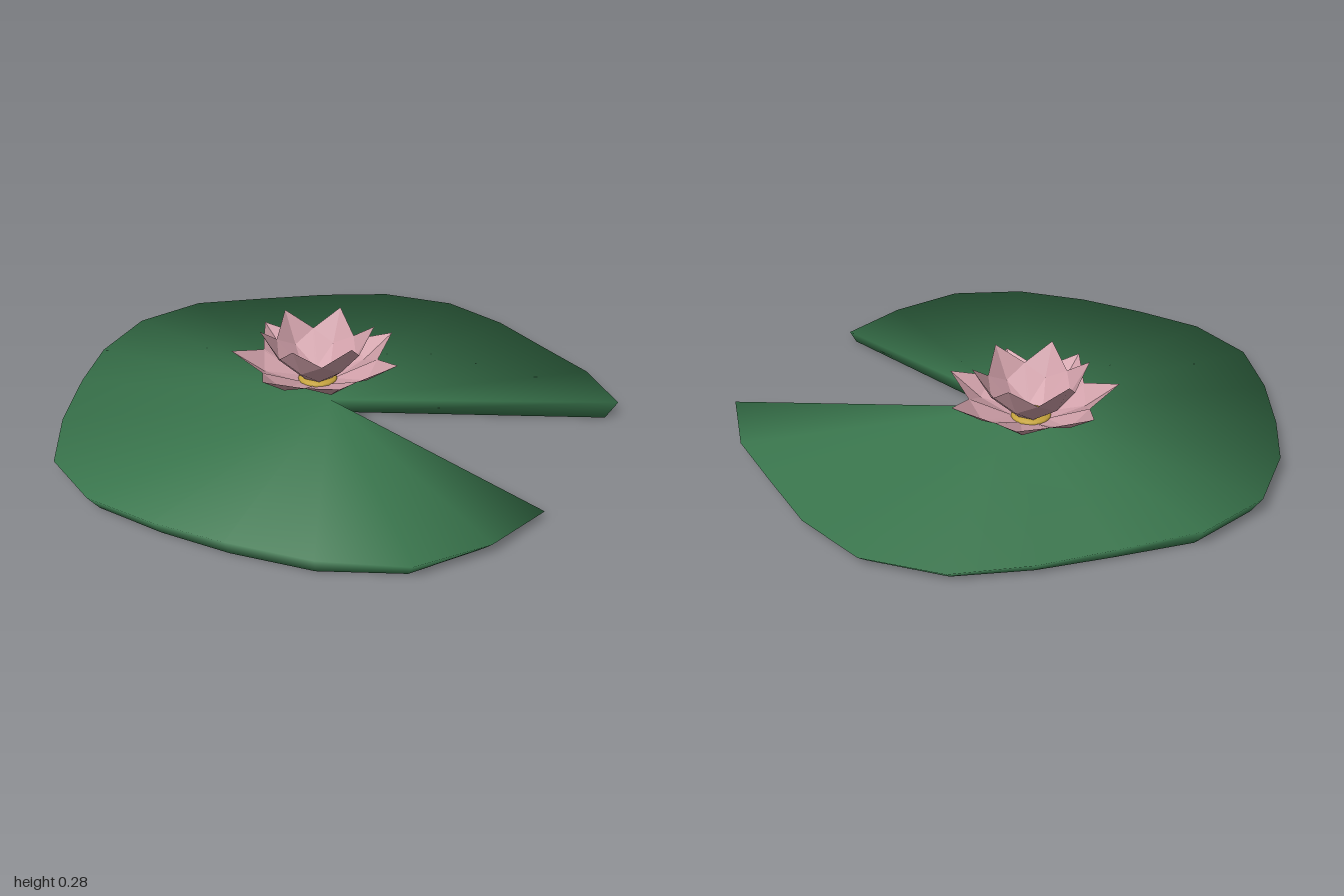
import * as THREE from 'three';

// Rim of the pad, counter-clockwise from above: x, height, z
const RIM = [
  [0.98, 0.065, -0.355], [0.81, 0.05, -0.58], [0.595, 0.042, -0.735], [0.37, 0.037, -0.895],
  [0.11, 0.035, -1], [-0.18, 0.037, -0.975], [-0.42, 0.045, -0.84], [-0.63, 0.055, -0.68],
  [-0.855, 0.066, -0.5], [-0.985, 0.065, -0.25], [-0.985, 0.06, 0.035], [-0.92, 0.055, 0.28],
  [-0.82, 0.05, 0.55], [-0.68, 0.05, 0.8], [-0.445, 0.055, 0.95], [-0.18, 0.06, 0.99],
  [0.08, 0.067, 1], [0.37, 0.067, 0.975], [0.64, 0.055, 0.87], [0.815, 0.04, 0.645], [0.91, 0.03, 0.39],
];
const HEART = [0, 0.052, 0.03]; // point where the notch ends

// Smooth normals weighted by corner angle, so the thin rim looks rounded
function angleNormals(points, faces) {
  const normals = points.map(() => new THREE.Vector3());
  for (const face of faces) {
    const [a, b, c] = face.map((i) => points[i]);
    const n = b.clone().sub(a).cross(c.clone().sub(a)).normalize();
    face.forEach((v, k) => {
      const p = points[v];
      const e = points[face[(k + 1) % 3]].clone().sub(p);
      const f = points[face[(k + 2) % 3]].clone().sub(p);
      normals[v].addScaledVector(n, e.angleTo(f));
    });
  }
  return normals.map((n) => n.normalize());
}

// Notched leaf: top fan, bottom fan set slightly inward, and a wall between
function padGeometry() {
  const loop = [HEART, ...RIM];
  const n = loop.length;
  const top = loop.map((p) => new THREE.Vector3(...p));
  const bottom = loop.map(([x, , z]) => new THREE.Vector3(x * 0.96, 0, z * 0.96));
  const points = [...top, ...bottom];
  const faces = [];
  for (let i = 0; i < n; i++) {
    const j = (i + 1) % n;
    if (i > 0 && j > 0) faces.push([0, i, j], [n, n + j, n + i]);
    faces.push([n + i, n + j, j], [n + i, j, i]);
  }
  const geo = new THREE.BufferGeometry().setFromPoints(points);
  const normals = angleNormals(points, faces).flatMap((v) => v.toArray());
  geo.setAttribute('normal', new THREE.Float32BufferAttribute(normals, 3));
  geo.setIndex(faces.flat());
  return geo;
}

// Pointed, cupped petal along +x; base, mid and tip are [radius, height]
function petalGeometry(base, mid, tip, halfWidth, lift) {
  const [bx, by] = base, [mx, my] = mid, [tx, ty] = tip;
  const points = [
    [bx, by, 0.03], [bx, by, -0.03],
    [mx, my + lift, halfWidth], [mx, my, 0], [mx, my + lift, -halfWidth],
    [tx, ty, 0],
  ].map((p) => new THREE.Vector3(...p));
  const geo = new THREE.BufferGeometry().setFromPoints(points);
  geo.setIndex([0, 3, 1, 0, 2, 3, 1, 3, 4, 2, 5, 3, 3, 5, 4]);
  const flat = geo.toNonIndexed();
  flat.computeVertexNormals();
  return flat;
}

export function createModel() {
  const green = new THREE.MeshStandardMaterial({ color: 0x3c7a50 });
  green.name = 'leafGreen';
  const pink = new THREE.MeshStandardMaterial({ color: 0xcf9fa8, side: THREE.DoubleSide, flatShading: true });
  pink.name = 'petalPink';
  const yellow = new THREE.MeshStandardMaterial({ color: 0xc4a23c });
  yellow.name = 'centreYellow';

  const model = new THREE.Group();
  model.name = 'waterLily';

  const pad = new THREE.Mesh(padGeometry(), green);
  pad.name = 'lilyPad';
  model.add(pad);

  const flower = new THREE.Group();
  flower.name = 'flower';
  flower.position.set(-0.09, 0, -0.055);
  model.add(flower);

  const ring = (name, geo, count, start) => {
    for (let i = 0; i < count; i++) {
      const petal = new THREE.Mesh(geo, pink);
      petal.name = name;
      petal.rotation.y = start + (i / count) * Math.PI * 2;
      flower.add(petal);
    }
  };
  ring('outerPetal', petalGeometry([0.05, 0.078], [0.2, 0.115], [0.32, 0.2], 0.1, 0.04), 7, 0);
  ring('innerPetal', petalGeometry([0.045, 0.092], [0.145, 0.165], [0.212, 0.285], 0.085, 0.045), 6, Math.PI / 6);

  // Flattened flower centre
  const centre = new THREE.Mesh(new THREE.SphereGeometry(0.075, 14, 8), yellow);
  centre.name = 'flowerCentre';
  centre.scale.y = 0.26;
  centre.position.y = 0.082;
  flower.add(centre);

  return model;
}
